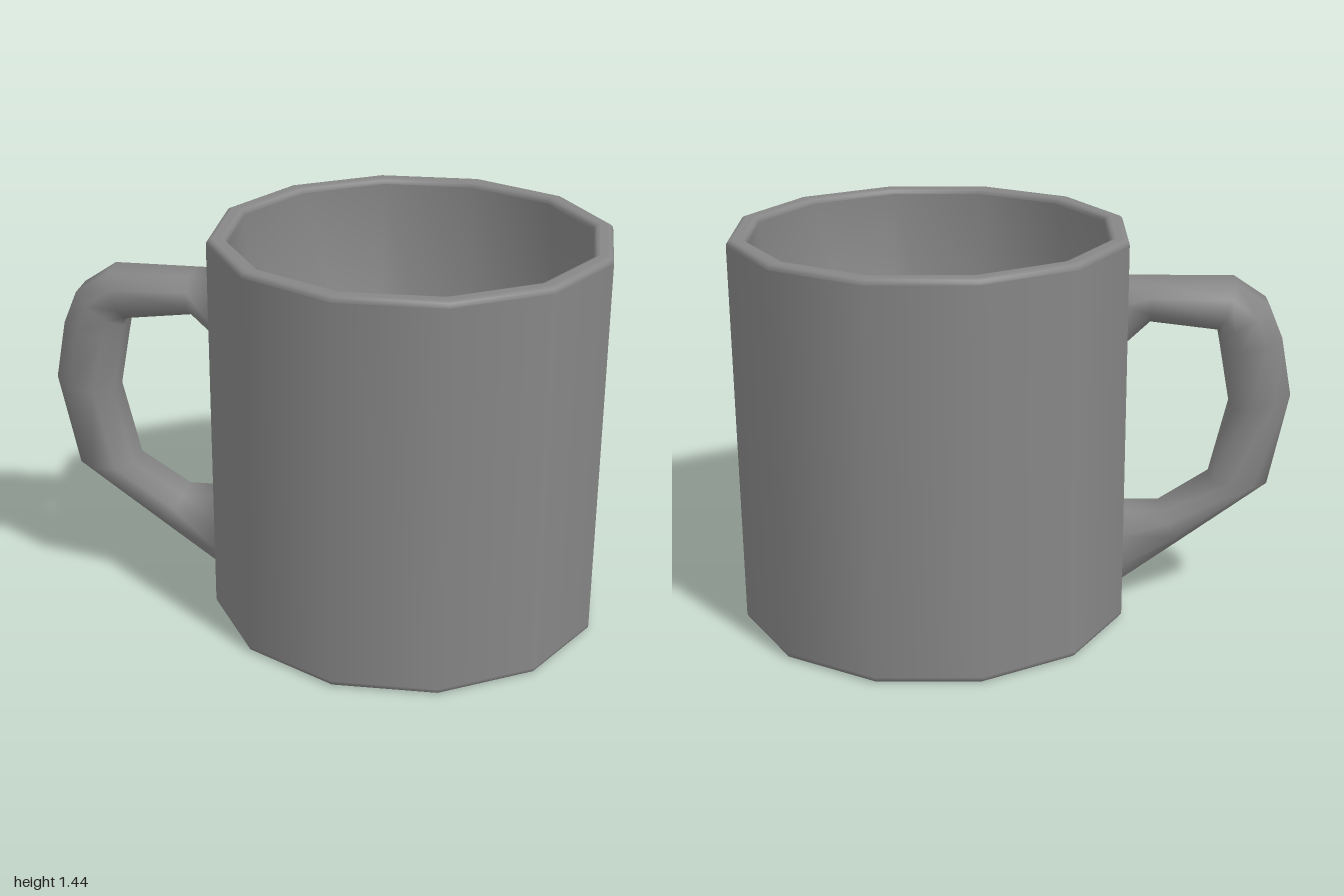
import * as THREE from 'three';

const material = new THREE.MeshStandardMaterial({ color: 0x868686 });
const SIDES = 12;
const TURN = THREE.MathUtils.degToRad(16.2);
const BEVEL = 0.02;

function lathe(profile) {
  return new THREE.LatheGeometry(profile.map(([r, y]) => new THREE.Vector2(r, y)), SIDES, TURN);
}

// Rounded profile corner: a quarter turn anticlockwise about (r, y)
function corner(r, y, startDegrees) {
  return [0, 22.5, 45, 67.5, 90].map((step) => {
    const a = THREE.MathUtils.degToRad(startDegrees + step);
    return [r + BEVEL * Math.cos(a), y + BEVEL * Math.sin(a)];
  });
}

// Octagonal tube skinned through [outer x, outer y, inner x, inner y] sections
function handleGeometry(sections) {
  const half = [[0, 0.06], [0.28, 0.115], [0.72, 0.115], [1, 0.06]];
  const ring = [...half, ...half.map(([t, z]) => [t, -z]).reverse()];
  const n = ring.length;
  const positions = [];
  const index = [];
  sections.forEach(([ox, oy, ix, iy], i) => {
    for (const [t, z] of ring) {
      positions.push(ox + (ix - ox) * t, oy + (iy - oy) * t, z + 0.012);
    }
    if (i === 0) return;
    for (let j = 0; j < n; j++) {
      const a = (i - 1) * n + j;
      const b = (i - 1) * n + (j + 1) % n;
      index.push(a, a + n, b, b, a + n, b + n);
    }
  });
  const geometry = new THREE.BufferGeometry();
  geometry.setAttribute('position', new THREE.Float32BufferAttribute(positions, 3));
  geometry.setIndex(index);
  geometry.computeVertexNormals();

  // Blend the end normals into the wall so the joints shade softly
  const normals = geometry.attributes.normal;
  const normal = new THREE.Vector3();
  for (const first of [0, (sections.length - 1) * n]) {
    for (let k = first; k < first + n; k++) {
      normal.fromBufferAttribute(normals, k);
      normal.x -= 1;
      normal.normalize();
      normals.setXYZ(k, normal.x, normal.y, normal.z);
    }
  }
  return geometry;
}

export function createModel() {
  const mug = new THREE.Group();
  mug.name = 'mug';

  function add(name, geometry, x = 0) {
    const mesh = new THREE.Mesh(geometry, material);
    mesh.name = name;
    mesh.position.x = x;
    mug.add(mesh);
  }

  // Outer wall and rim, with close edge loops to keep the broad faces evenly shaded
  add('outerWall', lathe([
    [0, 0], [0.699, 0],
    ...corner(0.7, BEVEL, -90),
    [0.72, 0.021], [0.72, 1.419],
    ...corner(0.7, 1.42, 0),
    [0.699, 1.44], [0.671, 1.44],
    ...corner(0.67, 1.42, 90),
  ]), 0.3);

  // Inner wall and floor, shaded as one smooth hollow
  add('innerWall', lathe([[0.65, 1.42], [0.65, 0.08], [0, 0.08]]), 0.3);

  // Handle, flared where it meets the wall
  add('handle', handleGeometry([
    [-0.39, 1.25, -0.39, 1.02],
    [-0.49, 1.25, -0.485, 1.11],
    [-0.79, 1.25, -0.73, 1.08],
    [-0.91, 1.17, -0.738, 1.05],
    [-0.96, 1.05, -0.75, 0.99],
    [-1.0, 0.835, -0.79, 0.775],
    [-0.93, 0.49, -0.725, 0.495],
    [-0.62, 0.26, -0.54, 0.375],
    [-0.39, 0.09, -0.39, 0.375],
  ]));

  return mug;
}
